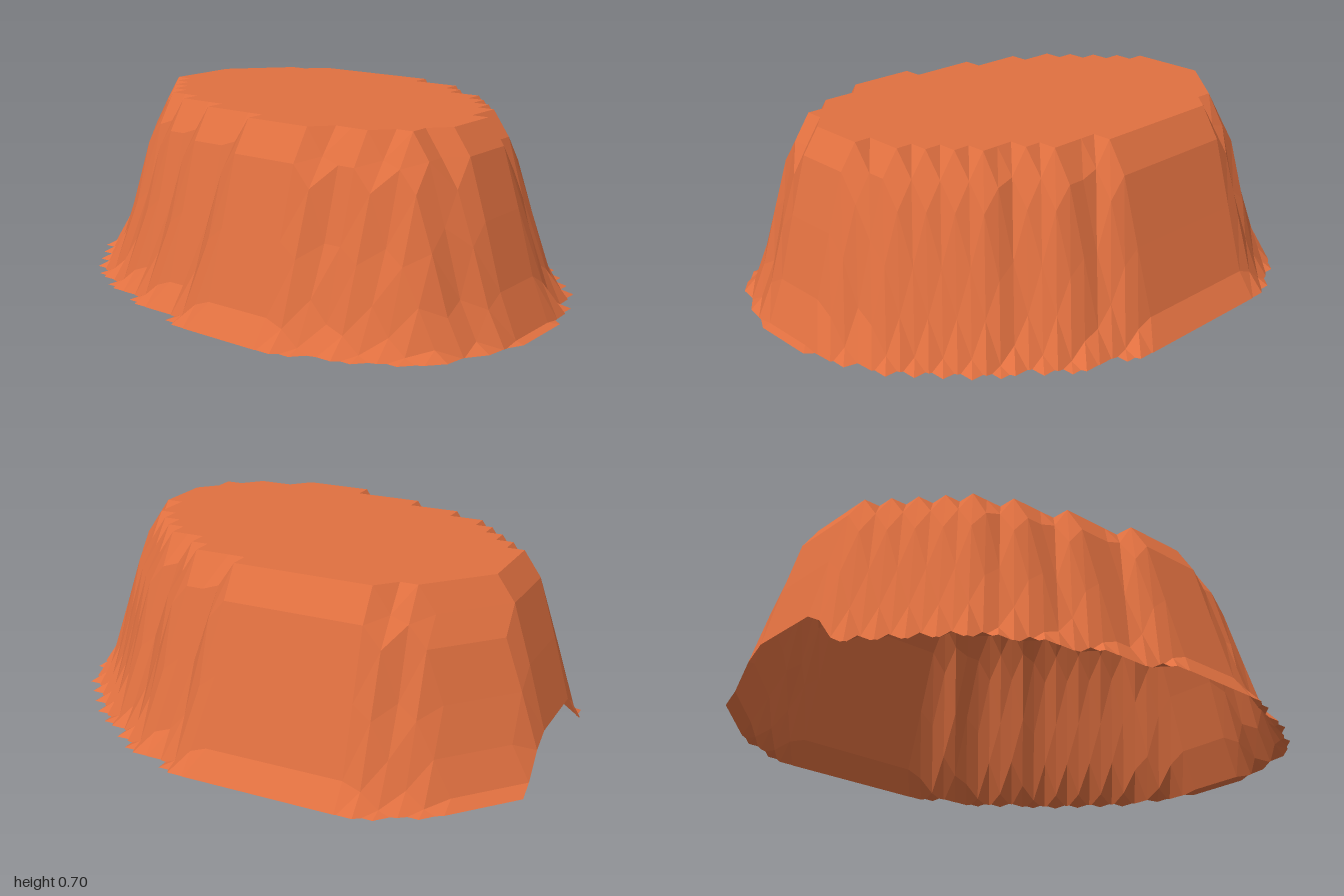
import * as THREE from 'three';

const DX = 0.0655, DZ = 0.0737; // grid pitch
const TOP = 0.705, SLOPE = 0.29, SINK = 0.01;

// Flat summit: first and last grid column of each row, back to front
const ROWS = [
  [8, 16], [6, 19], [5, 20], [4, 22], [3, 23], [3, 24], [3, 25], [3, 25],
  [4, 26], [5, 26], [6, 26], [7, 25], [9, 25], [12, 23], [16, 20],
];

// Height falls off smoothly with distance from the summit
function gridPoint(i, j) {
  let d = Infinity;
  ROWS.forEach(([a, b], r) => {
    const dx = Math.max(a - i, i - b, 0) * DX;
    const dz = Math.max(r - j, j - r - 1, 0) * DZ;
    d = Math.min(d, Math.hypot(dx, dz));
  });
  const y = (TOP + SINK) * (1 - THREE.MathUtils.smoothstep(d, 0, SLOPE)) - SINK;
  return new THREE.Vector3(-1 + i * DX, y, (j - ROWS.length / 2) * DZ);
}

// Keep the part of a polygon above the ground
function clipAtGround(poly) {
  const out = [];
  poly.forEach((p, k) => {
    const q = poly[(k + 1) % poly.length];
    if (p.y >= 0) out.push(p);
    if ((p.y >= 0) !== (q.y >= 0)) out.push(p.clone().lerp(q, p.y / (p.y - q.y)));
  });
  return out;
}

export function createModel() {
  const positions = [];
  const addTriangle = (...corners) => {
    const poly = clipAtGround(corners);
    for (let k = 1; k < poly.length - 1; k++) {
      for (const p of [poly[0], poly[k], poly[k + 1]]) positions.push(p.x, p.y, p.z);
    }
  };

  // Terrain cells, cut straight at the left column and open underneath
  for (let j = -6; j < ROWS.length + 6; j++) {
    for (let i = 0; i < 32; i++) {
      const a = gridPoint(i, j), b = gridPoint(i, j + 1);
      const c = gridPoint(i + 1, j + 1), d = gridPoint(i + 1, j);
      addTriangle(a, b, d);
      addTriangle(b, c, d);
    }
  }

  const geometry = new THREE.BufferGeometry();
  geometry.setAttribute('position', new THREE.Float32BufferAttribute(positions, 3));
  geometry.computeVertexNormals();
  const material = new THREE.MeshStandardMaterial({
    color: 0xe07040, flatShading: true, side: THREE.DoubleSide,
  });
  const mesa = new THREE.Mesh(geometry, material);
  mesa.name = 'mesa';

  const group = new THREE.Group();
  group.name = 'plateau';
  group.add(mesa);
  return group;
}
